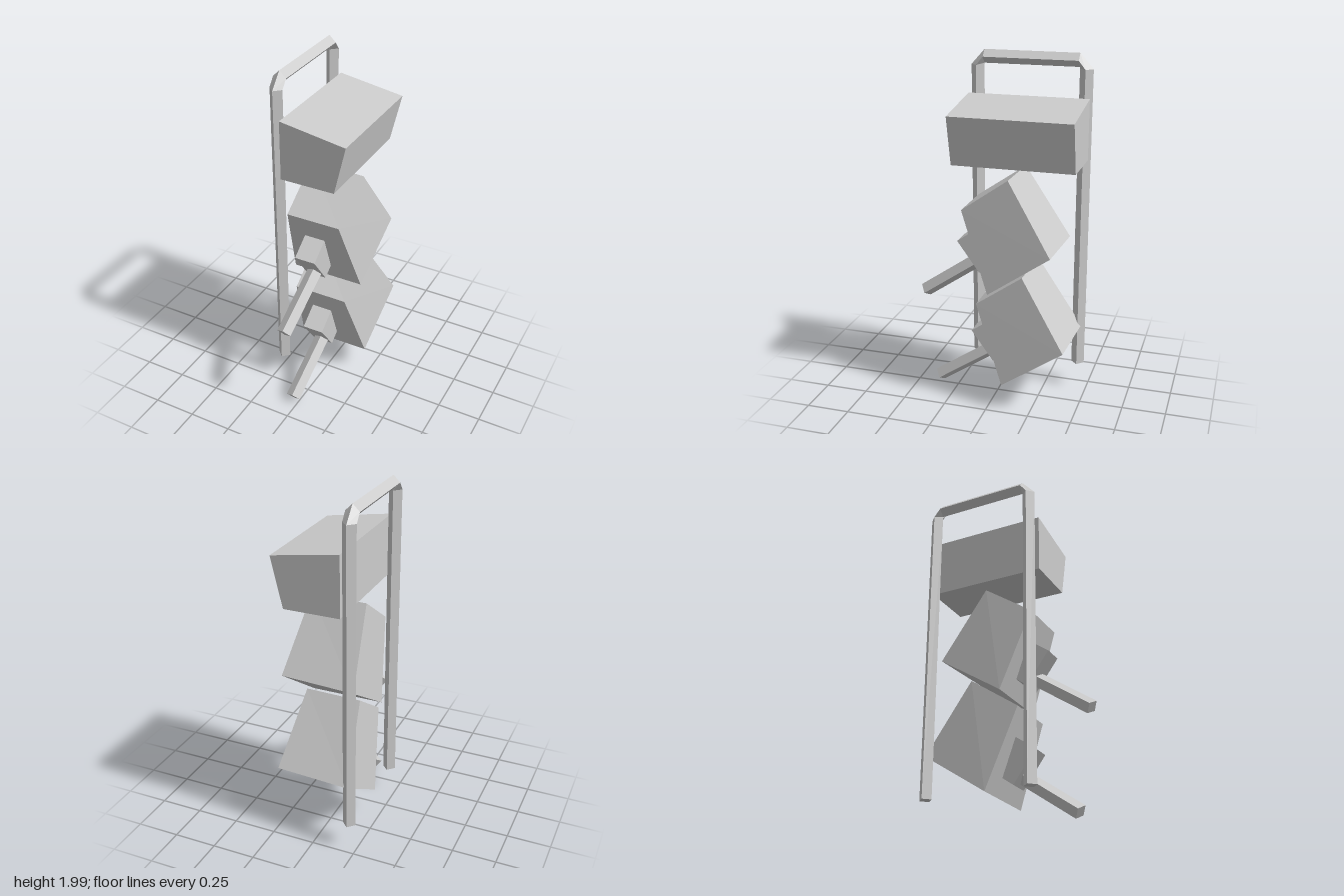
import * as THREE from 'three';

const grey = new THREE.MeshStandardMaterial({ color: 0xcccccc });
grey.name = 'plain grey';

// Closed solid through four-cornered rings, each counterclockwise about the sweep direction
function loft(name, rings) {
  const pos = [];
  const quad = (a, b, c, d) => [a, b, c, a, c, d].forEach(p => pos.push(...p));
  for (let r = 0; r < rings.length - 1; r++) {
    for (let i = 0; i < 4; i++) {
      const j = (i + 1) % 4;
      quad(rings[r][i], rings[r][j], rings[r + 1][j], rings[r + 1][i]);
    }
  }
  quad(...[...rings[0]].reverse());
  quad(...rings[rings.length - 1]);
  const geo = new THREE.BufferGeometry();
  geo.setAttribute('position', new THREE.Float32BufferAttribute(pos, 3));
  geo.computeVertexNormals();
  const mesh = new THREE.Mesh(geo, grey);
  mesh.name = name;
  return mesh;
}

// Diamond-section hoop with chamfered upper corners
function frame() {
  const r = 0.038, x = -0.2;
  const ring = (y, z, ny, nz) => [
    [x, y + ny * r, z + nz * r], [x + r, y, z],
    [x, y - ny * r, z - nz * r], [x - r, y, z],
  ];
  return loft('frame', [
    ring(0.16, 0.175, 0, 1), ring(1.915, 0.175, 0, 1),
    ring(1.962, 0.137, 1, 0), ring(1.962, -0.403, 1, 0),
    ring(1.915, -0.441, 0, -1), ring(0.16, -0.441, 0, -1),
  ]);
}

// Upper box with a sloping top and side
function upperBox() {
  const ring = (x0, y0, x1, y1) => [[x0, y0, 0.22], [x1, y1, 0.22], [x1, y1, -0.47], [x0, y0, -0.47]];
  return loft('upperBox', [ring(-0.162, 1.76, -0.162, 1.42), ring(0.22, 1.7, 0.155, 1.42)]);
}

// Tilted tapering box with a mount block and a diamond-section rod
function tiltedUnit(name) {
  const unit = new THREE.Group();
  unit.name = name;

  unit.add(loft('tiltedBox', [
    [[-0.16, 1.17, 0.165], [-0.21, 0.71, 0], [-0.195, 0.955, -0.375], [-0.16, 1.365, -0.118]],
    [[0.155, 1.17, 0.165], [0.215, 0.71, -0.002], [0.235, 0.965, -0.36], [0.168, 1.362, -0.105]],
  ]));

  const block = x => [[x, 0.945, 0.23], [x, 0.765, 0.1], [x, 0.85, -0.02], [x, 1.03, 0.11]];
  unit.add(loft('mountBlock', [block(-0.08), block(0.042)]));

  const start = new THREE.Vector3(-0.01, 0.825, 0.12);
  const end = new THREE.Vector3(-0.032, 0.59, 0.455);
  const along = end.clone().sub(start);
  const geo = new THREE.CylinderGeometry(0.042, 0.042, along.length(), 4).toNonIndexed();
  geo.computeVertexNormals();
  geo.rotateY(-0.22);
  along.normalize();
  const side = new THREE.Vector3().crossVectors(along, new THREE.Vector3(0, 1, 0)).normalize();
  const up = new THREE.Vector3().crossVectors(side, along);
  geo.applyMatrix4(new THREE.Matrix4().makeBasis(side, along, up));
  const rod = new THREE.Mesh(geo, grey);
  rod.name = 'rod';
  rod.position.copy(start).add(end).multiplyScalar(0.5);
  unit.add(rod);
  return unit;
}

export function createModel() {
  const model = new THREE.Group();
  model.name = 'rack';
  const lower = tiltedUnit('lowerUnit');
  lower.position.set(0, -0.55, -0.082);
  model.add(frame(), upperBox(), tiltedUnit('middleUnit'), lower);
  return model;
}
